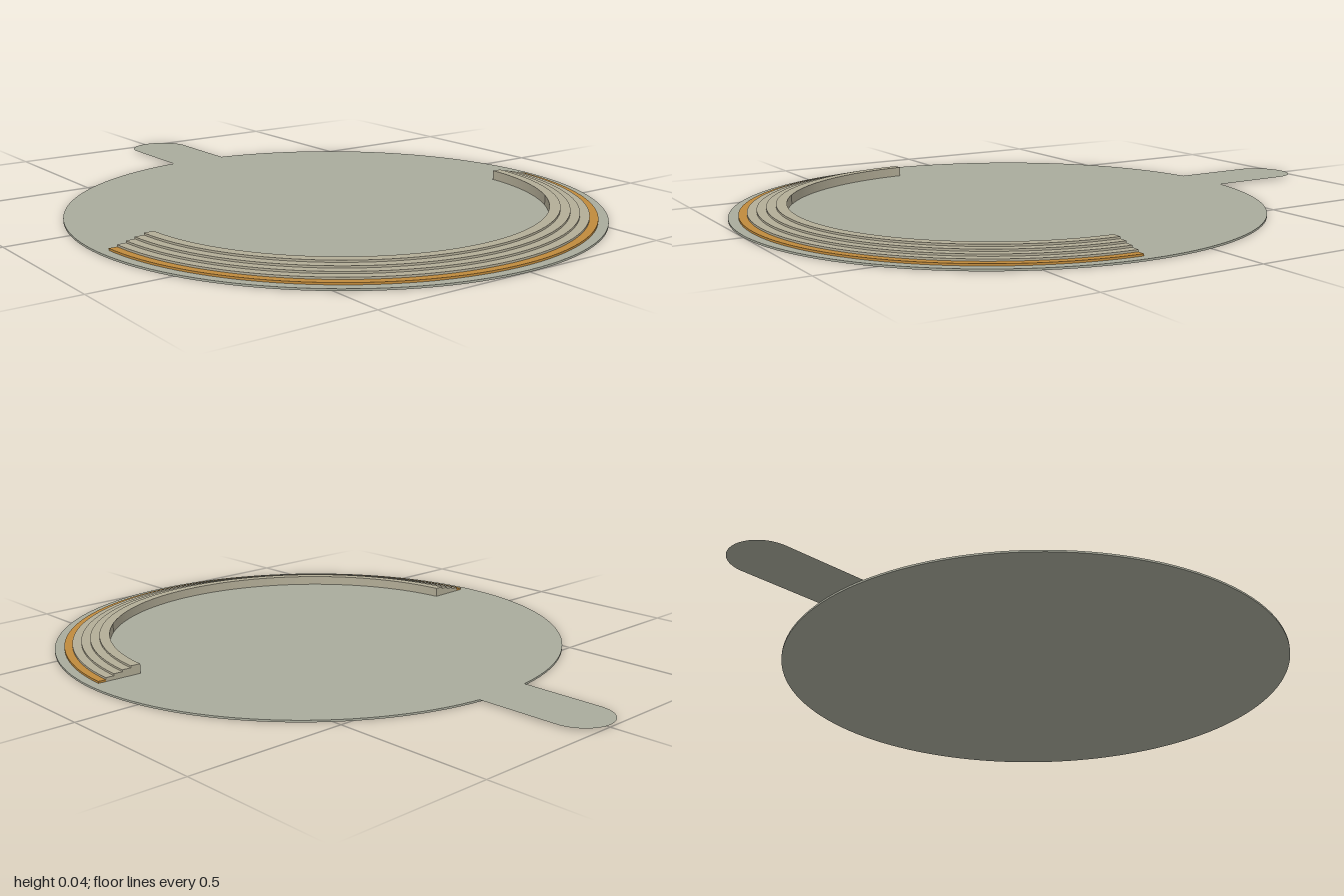
import * as THREE from 'three';

const CENTRE_Z = 0.18; // centre of the round floor
const FLOOR_TOP = 0.006;
const STEP = 0.006;

const stone = new THREE.MeshStandardMaterial({ color: 0xa9ab9c });
const paving = new THREE.MeshStandardMaterial({ color: 0xa9ab9c, side: THREE.DoubleSide });
const seat = new THREE.MeshStandardMaterial({ color: 0xb3ad97 });
const gold = new THREE.MeshStandardMaterial({ color: 0xc08a3c });

function addMesh(parent, name, geometry, material) {
  const mesh = new THREE.Mesh(geometry, material);
  mesh.name = name;
  parent.add(mesh);
  return mesh;
}

// Half-ring block standing on the floor, curving round the front
function halfRing(inner, outer, height) {
  const gap = 0.045;
  const shape = new THREE.Shape();
  shape.absarc(0, 0, outer, Math.PI + gap, Math.PI * 2 - gap, false);
  shape.absarc(0, 0, inner, Math.PI * 2 - gap, Math.PI + gap, true);
  const geometry = new THREE.ExtrudeGeometry(shape, { depth: height, bevelEnabled: false, curveSegments: 64 });
  return geometry.rotateX(-Math.PI / 2).translate(0, FLOOR_TOP, CENTRE_Z);
}

export function createModel() {
  const model = new THREE.Group();
  model.name = 'arena';

  // Thin round floor
  const floor = new THREE.CylinderGeometry(0.82, 0.82, FLOOR_TOP, 128);
  addMesh(model, 'floor', floor.translate(0, FLOOR_TOP / 2, CENTRE_Z), stone);

  // Flat walkway with rounded ends, leading out at the back
  const path = new THREE.Shape();
  path.absarc(0, 0.9, 0.1, 0, Math.PI, false);
  path.absarc(0, 0.32, 0.1, Math.PI, Math.PI * 2, false);
  const walkway = new THREE.ShapeGeometry(path, 24).rotateX(-Math.PI / 2);
  addMesh(model, 'walkway', walkway.translate(0, FLOOR_TOP + 0.0008, 0), paving);

  // Stepped tiers, lowest and golden on the outside, highest on the inside
  const tiers = new THREE.Group();
  tiers.name = 'tiers';
  const radii = [0.79, 0.765, 0.737, 0.709, 0.68, 0.648];
  for (let i = 0; i < radii.length - 1; i++) {
    addMesh(tiers, i === 0 ? 'goldenTier' : `tier${i}`,
      halfRing(radii[i + 1], radii[i], STEP * (i + 1)), i === 0 ? gold : seat);
  }
  model.add(tiers);

  return model;
}
